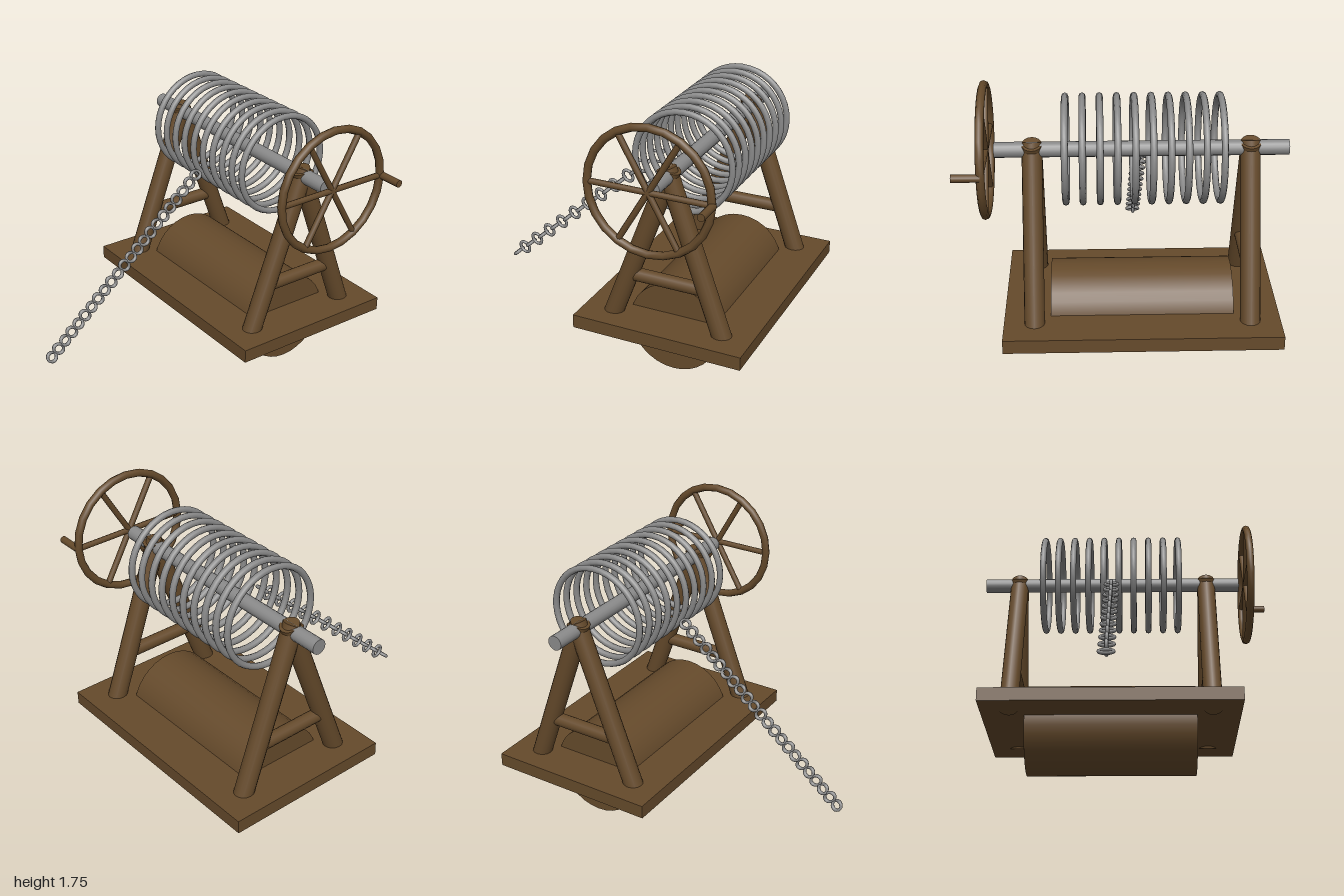
import * as THREE from 'three';

const wood = new THREE.MeshStandardMaterial({ color: 0x654a2b });
wood.name = 'brown wood';
const metal = new THREE.MeshStandardMaterial({ color: 0x8a8a8a });
metal.name = 'grey metal';

const AXLE_Y = 1.34;
const AXIS_Z = -0.455;
const MID_X = -0.105;

export function createModel() {
  const model = new THREE.Group();
  model.name = 'winch';

  const add = (name, geometry, material, parent = model) => {
    const mesh = new THREE.Mesh(geometry, material);
    mesh.name = name;
    parent.add(mesh);
    return mesh;
  };

  // Round bar between two points
  const bar = (name, from, to, radius, material, parent = model, sides = 16) => {
    const a = new THREE.Vector3(...from);
    const b = new THREE.Vector3(...to);
    const dir = b.clone().sub(a);
    const mesh = add(name, new THREE.CylinderGeometry(radius, radius, dir.length(), sides), material, parent);
    mesh.position.copy(a).add(b).multiplyScalar(0.5);
    mesh.quaternion.setFromUnitVectors(new THREE.Vector3(0, 1, 0), dir.normalize());
    return mesh;
  };

  // Base plate and the log set through it
  add('basePlate', new THREE.BoxGeometry(1.63, 0.085, 1.085), wood).position.set(MID_X, 0.338, AXIS_Z);
  bar('log', [-0.65, 0.29, AXIS_Z], [0.435, 0.29, AXIS_Z], 0.29, wood, model, 32);

  // A-frame supports
  for (const x of [-0.74, 0.53]) {
    const frame = new THREE.Group();
    frame.name = x < 0 ? 'rightFrame' : 'leftFrame';
    model.add(frame);
    for (const s of [1, -1]) {
      bar(s > 0 ? 'frontLeg' : 'backLeg', [x, 0.3, AXIS_Z + s * 0.38], [x, 1.38, AXIS_Z - s * 0.015], 0.06, wood, frame);
    }
    bar('crossbar', [x, 0.655, AXIS_Z - 0.25], [x, 0.655, AXIS_Z + 0.25], 0.042, wood, frame);
  }

  // Axle
  bar('axle', [-0.965, AXLE_Y, AXIS_Z], [0.75, AXLE_Y, AXIS_Z], 0.046, metal);

  // Coils around the axle
  const coils = new THREE.Group();
  coils.name = 'coils';
  model.add(coils);
  const coilGeometry = new THREE.TorusGeometry(0.308, 0.02, 8, 40).rotateY(Math.PI / 2);
  for (let i = 0; i < 10; i++) {
    add('coil', coilGeometry, metal, coils).position.set(-0.56 + i * 0.0995, AXLE_Y, AXIS_Z);
  }

  // Hand wheel with three full-width spokes and a crank handle
  const wheel = new THREE.Group();
  wheel.name = 'handWheel';
  wheel.position.set(0.8, AXLE_Y, AXIS_Z);
  model.add(wheel);
  add('rim', new THREE.TorusGeometry(0.38, 0.025, 8, 24).rotateY(Math.PI / 2), wood, wheel);
  for (let i = 0; i < 3; i++) {
    const a = (i * Math.PI) / 3;
    const y = 0.38 * Math.sin(a);
    const z = 0.38 * Math.cos(a);
    bar('spoke', [0, -y, -z], [0, y, z], 0.019, wood, wheel, 8);
  }
  bar('crankHandle', [0, 0, -0.385], [0.162, 0, -0.385], 0.023, wood, wheel, 12);

  // Chain hanging forward and down, links alternately turned
  const chain = new THREE.Group();
  chain.name = 'chain';
  model.add(chain);
  const stepY = -0.0433;
  const stepZ = 0.0498;
  const tilt = Math.atan2(stepZ, stepY);
  const flat = new THREE.TorusGeometry(0.04, 0.0115, 8, 16).scale(1, 0.75, 1);
  const upright = flat.clone().rotateY(Math.PI / 2).rotateX(tilt);
  flat.rotateX(tilt);
  for (let i = 0; i < 23; i++) {
    add('chainLink', i % 2 ? upright : flat, metal, chain)
      .position.set(-0.107, 1.185 + i * stepY, -0.125 + i * stepZ);
  }

  return model;
}
